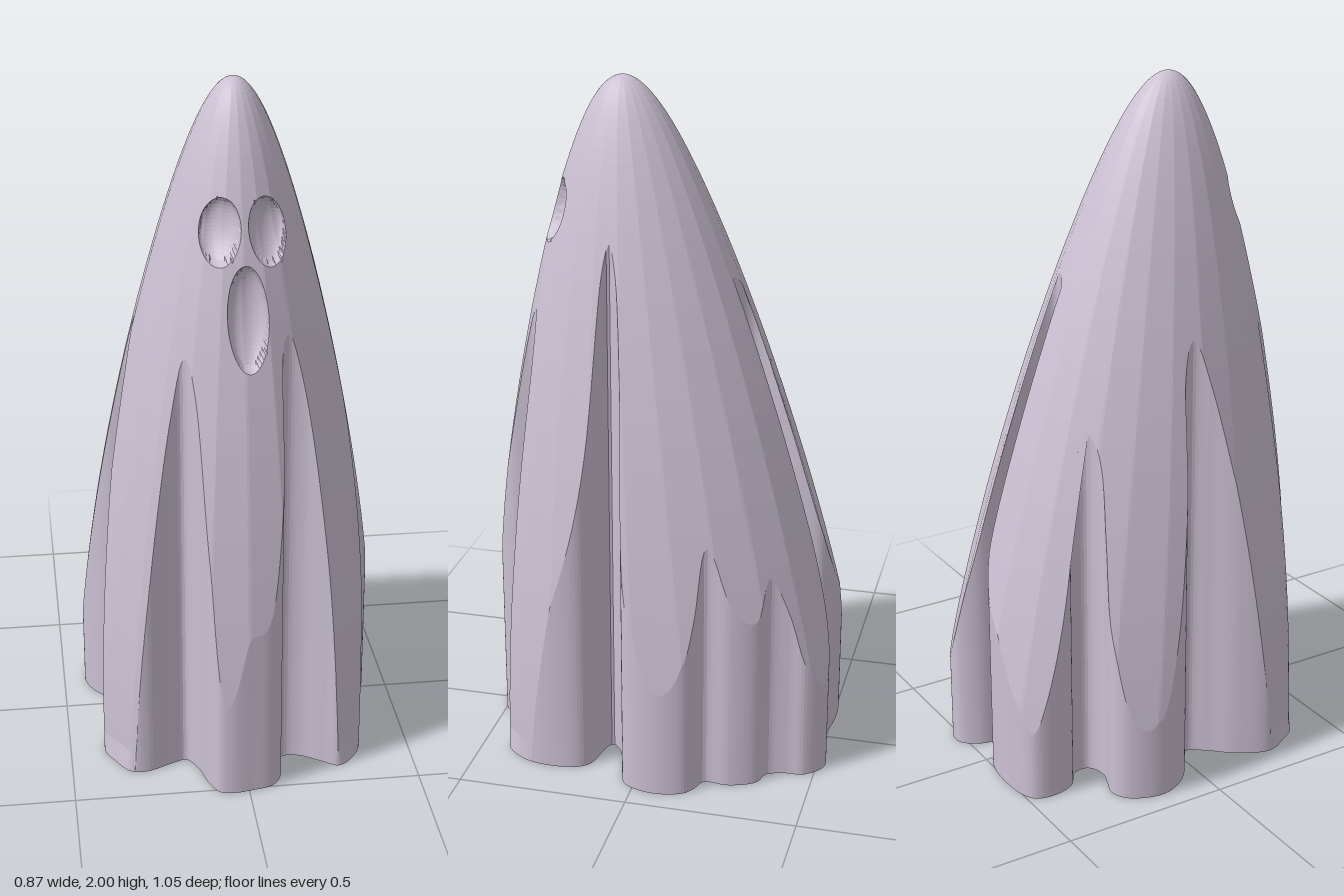
import * as THREE from 'three';

// Wavy hem outline as x, z pairs, running front -> left (+x) -> back -> right
const HEM = [
  -.05, .52, .01, .512, .07, .495, .1, .45, .105, .37, .125, .35, .17, .355, .235, .395, .28, .42,
  .35, .34, .355, .2, .325, .155, .22, .13, .2, .115, .225, .09, .3, .06, .4, .03, .425, -.01,
  .435, -.08, .415, -.15, .385, -.175, .34, -.195, .34, -.27, .305, -.345, .255, -.365, .235, -.42,
  .23, -.47, .18, -.52, .13, -.52, .09, -.47, .08, -.4, .08, -.27, .065, -.205, .03, -.205,
  -.015, -.25, 0, -.34, .01, -.41, 0, -.47, -.05, -.5, -.2, -.505, -.26, -.48, -.275, -.42,
  -.255, -.355, -.2, -.31, -.2, -.265, -.25, -.245, -.3, -.26, -.35, -.275, -.4, -.25,
  -.435, -.16, -.415, -.09, -.36, -.03, -.29, .005, -.27, .04, -.3, .085, -.36, .155,
  -.4, .25, -.37, .32, -.33, .375, -.28, .38, -.2, .345, -.165, .335, -.135, .38, -.11, .465, -.085, .51,
];
const SPOKES = 480, SIDES = 24, TIP_Z = 0.125;

// Hollows of the face: centre x, y, half sizes, tilt, depth
const HOLLOWS = [
  { x: -0.058, y: 1.625, rx: 0.054, ry: 0.09, tilt: -0.12, depth: 0.055 },
  { x: 0.07, y: 1.622, rx: 0.052, ry: 0.092, tilt: 0.16, depth: 0.055 },
  { x: 0.01, y: 1.398, rx: 0.056, ry: 0.143, tilt: 0.03, depth: 0.055 },
];

// Leaning bullet dome: below 1 inside, above 1 outside its faceted elliptical section at y
function gauge(x, y, z) {
  const u = 2 - y, s = Math.sqrt(u);
  const rx = s * (0.272 + 0.105 * u - 0.038 * u * u);
  const rz = s * (0.34 + 0.11 * u - 0.037 * u * u);
  const px = x / rx, pz = (z - TIP_Z + 0.085 * u) / rz;
  const step = 2 * Math.PI / SIDES;
  const a = ((Math.atan2(px, pz) % step) + step) % step - step / 2;
  return Math.hypot(px, pz) * Math.cos(a) / Math.cos(step / 2);
}

// Largest value in [lo, hi] for which inside() still holds
function bisect(lo, hi, inside) {
  for (let i = 0; i < 28; i++) {
    const mid = (lo + hi) / 2;
    if (inside(mid)) lo = mid; else hi = mid;
  }
  return (lo + hi) / 2;
}

// Press eyes and mouth into the front, pulling nearby vertices onto their rims
function carve(p) {
  if (p.z < 0.2 || p.y < 1.2 || p.y > 1.76) return p;
  for (const h of HOLLOWS) {
    const c = Math.cos(h.tilt), s = Math.sin(h.tilt);
    let a = ((p.x - h.x) * c + (p.y - h.y) * s) / h.rx;
    let b = (-(p.x - h.x) * s + (p.y - h.y) * c) / h.ry;
    const d = Math.hypot(a, b);
    if (Math.abs(d - 1) < 0.06) {
      a *= h.rx / d; b *= h.ry / d;
      p.x = h.x + a * c - b * s;
      p.y = h.y + a * s + b * c;
      p.z = bisect(0.1, 0.6, (z) => gauge(p.x, p.y, z) < 1);
      break;
    }
    if (d < 1) {
      p.z -= h.depth * Math.sqrt(1 - d * d);
      break;
    }
  }
  return p;
}

// Grid of points columns[spoke][row], closed around, into a surface
function skin(columns) {
  const rows = columns[0].length, index = [], position = [];
  columns.forEach((col) => col.forEach((p) => position.push(p.x, p.y, p.z)));
  for (let j = 0; j < columns.length; j++) {
    const n = (j + 1) % columns.length;
    for (let k = 0; k < rows - 1; k++) {
      const a = j * rows + k, d = n * rows + k;
      const flatA = columns[j][k].equals(columns[j][k + 1]);
      const flatD = columns[n][k].equals(columns[n][k + 1]);
      if (!flatA) index.push(a, a + 1, d + 1);
      if (!flatD && k > 0) index.push(a, d + 1, d);
    }
  }
  const g = new THREE.BufferGeometry();
  g.setAttribute('position', new THREE.Float32BufferAttribute(position, 3));
  g.setIndex(index);
  g.computeVertexNormals();
  return g;
}

export function createModel() {
  const group = new THREE.Group();
  const material = new THREE.MeshStandardMaterial({ color: 0xcbc0d2, flatShading: true });
  const add = (name, geometry) => {
    const mesh = new THREE.Mesh(geometry, material);
    mesh.name = name;
    group.add(mesh);
  };

  const points = [];
  for (let i = 0; i < HEM.length; i += 2) points.push(new THREE.Vector3(HEM[i], 0, HEM[i + 1]));
  const hem = new THREE.CatmullRomCurve3(points, true, 'centripetal').getSpacedPoints(SPOKES).slice(0, SPOKES);

  // Height levels, closest together across the face
  const levels = [];
  for (let i = 0; i < 14; i++) levels.push(2 - 0.25 * (i / 14) ** 2);
  for (let i = 0; i < 50; i++) levels.push(1.75 - 0.53 * i / 50);
  for (let i = 0; i <= 20; i++) levels.push(1.22 * (1 - i / 20));

  // Dome follows each spoke from the tip down to where it meets the hem outline
  const dome = hem.map((p) => {
    const top = 2 - bisect(0, 2, (u) => gauge(p.x, 2 - u, p.z) > 1);
    return levels.map((level, k) => {
      const y = Math.max(level, top);
      const at = (t) => [p.x * t, y, TIP_Z + (p.z - TIP_Z) * t];
      const t = k === 0 ? 0 : level <= top ? 1 : bisect(0, 1, (v) => gauge(...at(v)) < 1);
      return carve(new THREE.Vector3(...at(t)));
    });
  });
  add('sheetDome', skin(dome));

  // Upright folds below the dome (leading duplicate row gives full quads)
  const folds = hem.map((p, j) => {
    const edge = dome[j][levels.length - 1];
    return [edge.clone().setY(edge.y + 1e-5), edge, new THREE.Vector3(p.x, 0, p.z)];
  });
  add('sheetFolds', skin(folds));

  // Flat underside
  const base = new THREE.ShapeGeometry(new THREE.Shape(hem.map((p) => new THREE.Vector2(p.x, p.z))));
  base.rotateX(Math.PI / 2);
  add('underside', base);
  return group;
}
